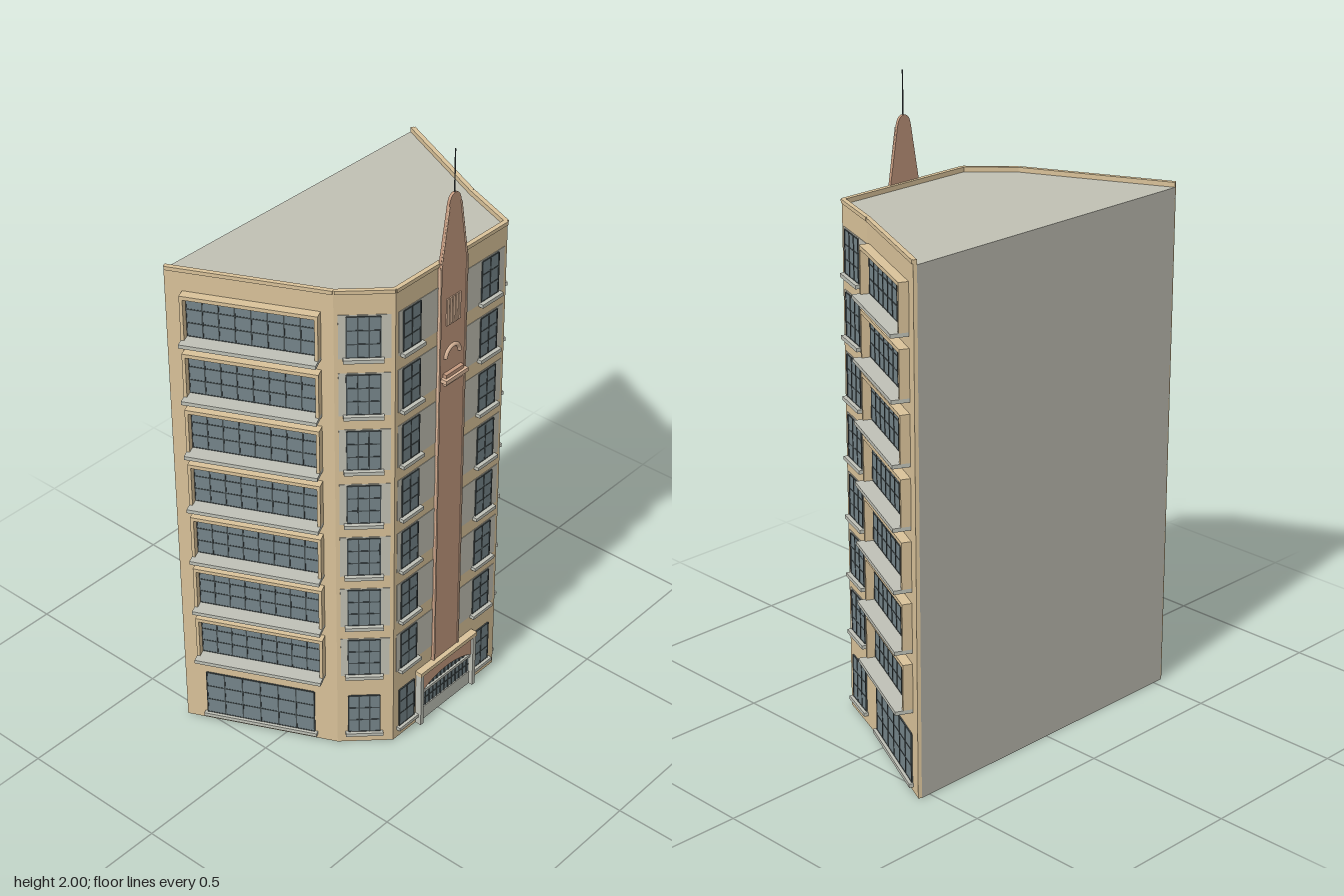
import * as THREE from 'three';

const mat = (name, color) => {
  const m = new THREE.MeshStandardMaterial({ color });
  m.name = name;
  return m;
};
const M = {
  tan: mat('tan stone', 0xdac39a),
  grey: mat('grey brick', 0xc1c0b3),
  roof: mat('grey render', 0xc1c0b4),
  sill: mat('sill stone', 0xbfc1b7),
  glass: mat('window glass', 0x75858a),
  bar: mat('dark metal', 0x444d4f),
  brown: mat('terracotta', 0xc4997e),
  trim: mat('pale terracotta', 0xdcb89b),
};

// Facade line, from the back right corner round the front to the back left corner
const OUTER = [[-0.542, -0.297], [-0.33, 0.15], [-0.21, 0.275], [0.285, 0.275], [0.36, 0.085], [0.542, -0.297]];
const INNER = [[-0.532, -0.302], [-0.321, 0.145], [-0.206, 0.264], [0.278, 0.264], [0.35, 0.082], [0.532, -0.302]];
const FLOORS = 7, FIRST = 0.275, PITCH = 0.194, WIN_H = 0.135, TOP = 1.66;
const CX = 0.033; // centre line of pylon and entrance

function mesh(parent, name, geo, material) {
  const m = new THREE.Mesh(geo, material);
  m.name = name;
  parent.add(m);
  return m;
}

// Box given by its x and y range and its back and front depth
function slab(parent, name, material, x0, x1, y0, y1, z0, z1) {
  const m = mesh(parent, name, new THREE.BoxGeometry(x1 - x0, y1 - y0, z1 - z0), material);
  m.position.set((x0 + x1) / 2, (y0 + y1) / 2, (z0 + z1) / 2);
  return m;
}

// Extrudes a plan outline (x, z) upwards
function prism(parent, name, material, pts, y0, y1) {
  const shape = new THREE.Shape(pts.map(([x, z]) => new THREE.Vector2(x, -z)));
  const geo = new THREE.ExtrudeGeometry(shape, { depth: y1 - y0, bevelEnabled: false });
  geo.rotateX(-Math.PI / 2).translate(0, y0, 0);
  return mesh(parent, name, geo, material);
}

// Group whose x runs along a wall and whose z points out of it
function facet(parent, name, i) {
  const [ax, az] = OUTER[i], [bx, bz] = OUTER[i + 1];
  const g = new THREE.Group();
  g.name = name;
  g.position.set(ax, 0, az);
  g.rotation.y = Math.atan2(-(bz - az), bx - ax);
  g.userData.length = Math.hypot(bx - ax, bz - az);
  parent.add(g);
  return g;
}

// Glazing with a grid of bars; sill = its projection, hood = projection of the box surround
function windowUnit(parent, x0, x1, y0, y1, cols, rows, sill, hood) {
  const g = new THREE.Group();
  g.name = 'window';
  parent.add(g);
  slab(g, 'pane', M.glass, x0, x1, y0, y1, 0, 0.003);
  const t = 0.002;
  for (let c = 0; c <= cols; c++) {
    const x = x0 + (x1 - x0) * c / cols;
    slab(g, 'uprightBar', M.bar, x - t, x + t, y0, y1, 0, 0.0045);
  }
  for (let r = 0; r <= rows; r++) {
    const y = y0 + (y1 - y0) * r / rows;
    slab(g, 'crossBar', M.bar, x0, x1, y - t, y + t, 0, 0.004);
  }
  slab(g, 'sill', M.sill, x0 - 0.01, x1 + 0.01, y0 - 0.012, y0, 0, sill);
  if (hood) {
    slab(g, 'hood', M.tan, x0 - 0.01, x1 + 0.01, y1, y1 + 0.012, 0, hood);
    slab(g, 'surroundSide', M.tan, x0 - 0.01, x0, y0, y1, 0, hood);
    slab(g, 'surroundSide', M.tan, x1, x1 + 0.01, y0, y1, 0, hood);
  }
}

// Tall bullet-topped outline for the pylon
function bullet(w, y0, shoulder, top) {
  const s = new THREE.Shape();
  s.moveTo(-w, y0);
  s.lineTo(w, y0);
  s.lineTo(w, shoulder);
  s.lineTo(w * 0.45, top - 0.035);
  s.quadraticCurveTo(w * 0.35, top, 0, top);
  s.quadraticCurveTo(-w * 0.35, top, -w * 0.45, top - 0.035);
  s.lineTo(-w, shoulder);
  s.closePath();
  return s;
}

const extrude = (shape, depth) =>
  new THREE.ExtrudeGeometry(shape, { depth, bevelEnabled: false, curveSegments: 10 });

function buildPylon(parent) {
  const g = new THREE.Group();
  g.name = 'pylon';
  g.position.set(CX, 0, 0.274);
  parent.add(g);
  mesh(g, 'pylonBody', extrude(bullet(0.061, 0.2, 1.64, 1.865), 0.009), M.brown);
  // Raised edges
  for (const s of [-1, 1]) {
    slab(g, 'pylonEdge', M.trim, s * 0.058 - 0.003, s * 0.058 + 0.003, 0.2, 1.64, 0, 0.012);
    const path = new THREE.LineCurve3(
      new THREE.Vector3(s * 0.058, 1.635, 0.009), new THREE.Vector3(s * 0.026, 1.83, 0.009));
    mesh(g, 'taperEdge', new THREE.TubeGeometry(path, 1, 0.003, 6), M.trim);
  }
  // Slats, arch and small balcony
  for (let i = -2; i <= 2; i++)
    slab(g, 'slat', M.trim, i * 0.013 - 0.005, i * 0.013 + 0.005, 1.44, 1.53, 0.009, 0.013);
  const arch = mesh(g, 'archMoulding', new THREE.TorusGeometry(0.032, 0.007, 6, 14, Math.PI), M.trim);
  arch.position.set(0, 1.33, 0.01);
  slab(g, 'balconyPanel', M.brown, -0.04, 0.04, 1.268, 1.28, 0.009, 0.022);
  slab(g, 'balconyLedge', M.trim, -0.05, 0.05, 1.255, 1.268, 0, 0.031);
  slab(g, 'balconyBracket', M.trim, -0.04, 0.04, 1.24, 1.255, 0, 0.02);
  // Mast
  const mast = mesh(g, 'mast', new THREE.CylinderGeometry(0.002, 0.002, 0.15, 6), M.bar);
  mast.position.set(0, 1.925, 0.005);
}

function buildEntrance(parent) {
  const g = new THREE.Group();
  g.name = 'entrance';
  g.position.set(CX, 0, 0.275);
  parent.add(g);
  for (const s of [-1, 1])
    slab(g, 'entranceJamb', M.sill, s * 0.128 - 0.007, s * 0.128 + 0.007, 0, 0.2, 0, 0.022);
  slab(g, 'entranceLintel', M.tan, -0.137, 0.137, 0.198, 0.212, 0, 0.024);
  // Spandrel with a flat arch
  const s = new THREE.Shape();
  s.moveTo(-0.121, 0.125);
  s.quadraticCurveTo(0, 0.185, 0.121, 0.125);
  s.lineTo(0.121, 0.2);
  s.lineTo(-0.121, 0.2);
  s.closePath();
  mesh(g, 'spandrel', extrude(s, 0.014), M.brown);
  slab(g, 'entranceGlass', M.glass, -0.121, 0.121, 0, 0.16, 0, 0.004);
  slab(g, 'transom', M.sill, -0.121, 0.121, 0.113, 0.123, 0, 0.012);
  slab(g, 'doorPanel', M.sill, -0.121, 0.121, 0, 0.05, 0, 0.008);
  for (let i = -6; i <= 6; i++) {
    const x = i * 0.0185;
    slab(g, 'doorBar', M.bar, x - 0.002, x + 0.002, 0.05, 0.113, 0, 0.006);
    slab(g, 'fanlightBar', M.bar, x - 0.003, x + 0.003, 0.123, 0.155 - Math.abs(i) * 0.003, 0, 0.006);
  }
  slab(g, 'doorRail', M.bar, -0.121, 0.121, 0.078, 0.082, 0, 0.006);
}

export function createModel() {
  const model = new THREE.Group();
  model.name = 'towerBlock';

  // Body with flat roof, and the stone facade standing above it as a parapet
  prism(model, 'bodyAndRoof', M.roof, INNER, 0, 1.645);
  prism(model, 'facade', M.tan, [...OUTER, ...[...INNER].reverse()], 0, TOP);

  // Windows along each wall: [start, end] for ground and upper floors
  const walls = [
    { name: 'rightWall', big: true, ground: [[0.07, 0.42]], upper: [[0.062, 0.448]], cols: 8 },
    { name: 'frontRightWall', ground: [[0.035, 0.132]], upper: [[0.035, 0.132]], cols: 3 },
    { name: 'frontWall', ground: [[0.027, 0.097], [0.393, 0.463]], upper: [[0.032, 0.105], [0.38, 0.455]], cols: 2 },
    { name: 'frontLeftWall', ground: [[0.027, 0.135]], upper: [[0.027, 0.135]], cols: 3 },
    { name: 'leftWall', big: true, ground: [[0.03, 0.37]], upper: [[0.025, 0.372]], cols: 8 },
  ];
  walls.forEach((w, i) => {
    const f = facet(model, w.name, i);
    const len = f.userData.length;
    for (const [a, b] of w.ground)
      windowUnit(f, a, b, w.big ? 0.027 : 0.042, 0.187, w.big ? 6 : w.cols, 3, 0.014, 0);
    for (let k = 0; k < FLOORS; k++) {
      const y = FIRST + k * PITCH;
      if (!w.big) slab(f, 'brickPanel', M.grey, 0.012, len - 0.012, y - 0.005, y + WIN_H + 0.006, -0.002, 0.0015);
      for (const [a, b] of w.upper)
        windowUnit(f, a, b, y, y + WIN_H, w.cols, 3, w.big ? 0.055 : 0.017, w.big ? 0.03 : 0);
    }
    // Slim coping on the parapet
    slab(f, 'coping', M.tan, 0.002, len - 0.002, TOP - 0.012, TOP, 0, 0.004);
  });

  buildPylon(model);
  buildEntrance(model);
  return model;
}
